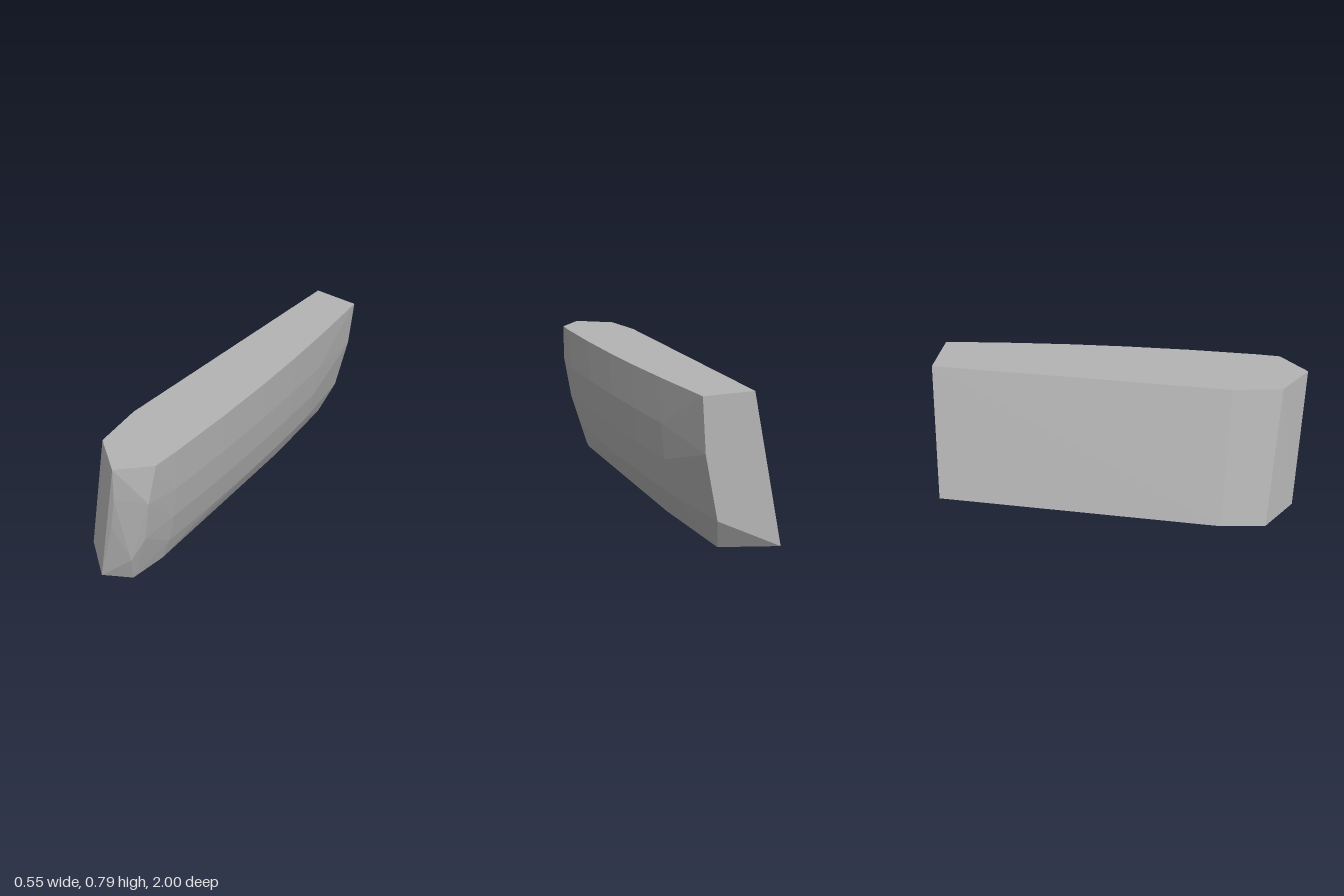
import * as THREE from 'three';
import { ConvexGeometry } from 'three/addons/geometries/ConvexGeometry.js';

export function createModel() {
  const group = new THREE.Group();
  group.name = 'stoneSlab';
  const stone = new THREE.MeshStandardMaterial({ color: 0xb4b4b4 });
  stone.name = 'grey stone';

  const points = [];
  const add = (...list) => list.forEach(p => points.push(new THREE.Vector3(...p)));

  // Flat leaning side and its chamfer towards the front
  add([-0.105, 0.79, -1], [-0.27, 0, -1], [-0.105, 0.79, 0.61], [-0.275, 0, 0.61],
    [-0.06, 0.79, 0.87], [-0.235, 0, 0.855]);

  // Front crest, bottom to top
  add([-0.025, 0, 1], [0.09, 0.41, 1], [0.125, 0.6, 1], [0.135, 0.79, 1]);

  // Corner between the front and the bulging side, bottom to top
  add([0.115, 0, 0.91], [0.155, 0.18, 0.95], [0.215, 0.33, 0.9],
    [0.255, 0.58, 0.9], [0.268, 0.79, 0.85]);

  // Bulging side: each height has its widest x, tapering towards the back
  for (const [y, widest] of [[0.79, 0.271], [0.56, 0.265], [0.37, 0.245], [0.18, 0.205]]) {
    for (const z of [0.72, 0.35, 0, -0.3, -0.6]) {
      const t = (0.72 - z) / 1.72;
      add([widest - 0.118 * t * t, y, z]);
    }
  }

  // Lower edge of the bulging side
  add([0.155, 0.03, 0.73], [0.075, 0, -0.386], [0.02, 0, -0.9]);

  // Back end outline
  add([0.155, 0.79, -1], [0.136, 0.515, -1], [0.07, 0.18, -1]);

  const slab = new THREE.Mesh(new ConvexGeometry(points), stone);
  slab.name = 'slab';
  group.add(slab);
  return group;
}
